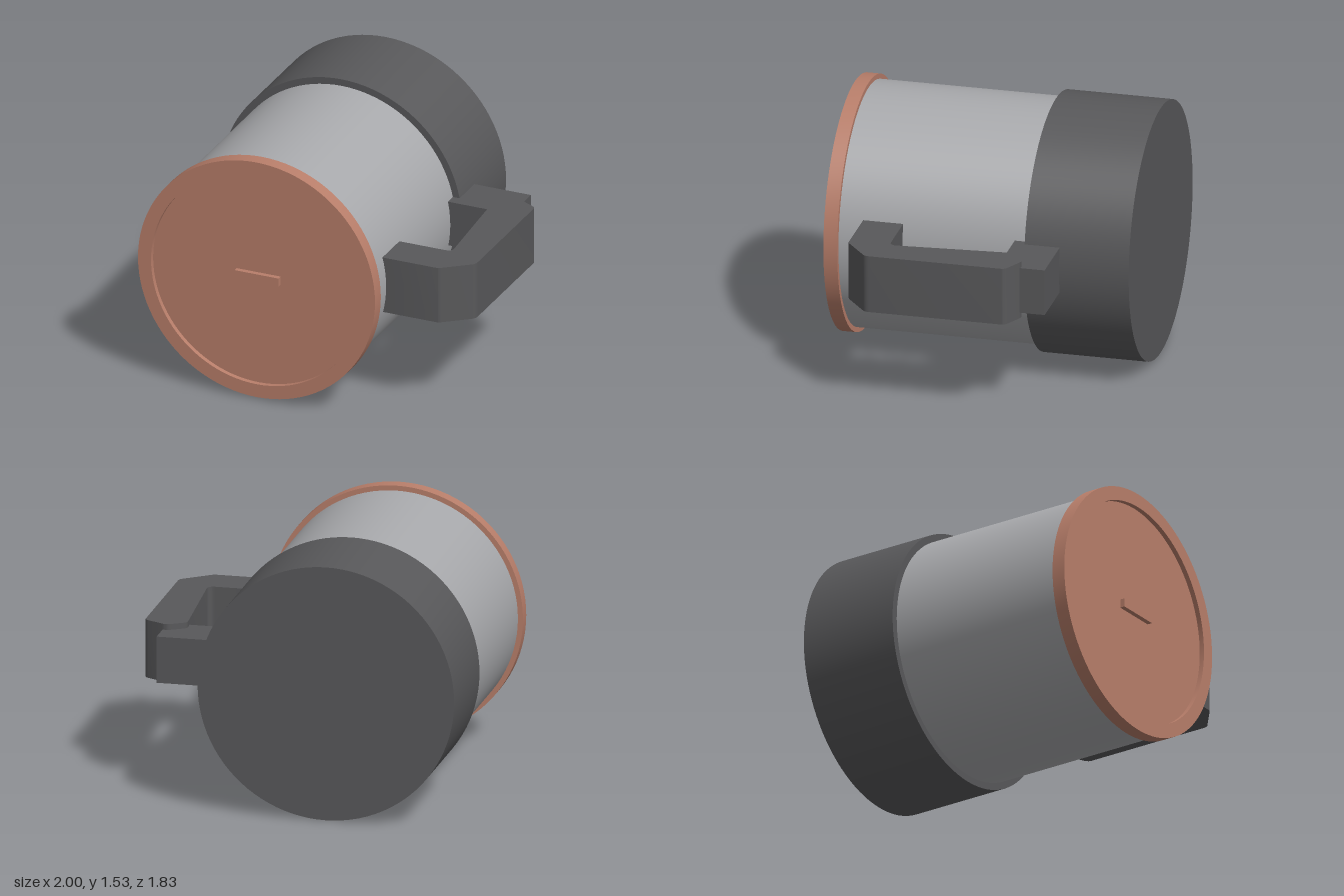
import * as THREE from 'three';
import { toCreasedNormals } from 'three/addons/utils/BufferGeometryUtils.js';

const CX = -0.233, CY = 0.767; // axis of the round parts, which runs along z

const makeMaterial = (name, color) => {
  const m = new THREE.MeshStandardMaterial({ color });
  m.name = name;
  return m;
};

export function createModel() {
  const group = new THREE.Group();
  const charcoal = makeMaterial('charcoal', 0x58585a);
  const silver = makeMaterial('silver', 0xa8a9ac);
  const copper = makeMaterial('copper', 0xb87e6a);

  const add = (name, geometry, material, x = 0, y = 0, z = 0) => {
    const mesh = new THREE.Mesh(geometry, material);
    mesh.name = name;
    mesh.position.set(x, y, z);
    group.add(mesh);
  };

  // Round part turned about the z axis from [radius, z] points
  const turned = (name, profile, material) => {
    const points = profile.map(([r, z]) => new THREE.Vector2(r, z));
    const geometry = new THREE.LatheGeometry(points, 96).rotateX(Math.PI / 2);
    add(name, toCreasedNormals(geometry, 0.6), material, CX, CY, 0);
  };

  turned('base', [[0, -0.917], [0.767, -0.917], [0.767, -0.29], [0, -0.29]], charcoal);
  turned('body', [[0, -0.3], [0.725, -0.3], [0.725, 0.84], [0, 0.84]], silver);
  // Lid with a raised rim around a shallow recess
  turned('lid', [[0, 0.832], [0.755, 0.832], [0.755, 0.915], [0.672, 0.915],
    [0.672, 0.885], [0, 0.885]], copper);
  add('lidGrip', new THREE.BoxGeometry(0.28, 0.052, 0.04), copper, CX, 0.776, 0.895);

  // Handle: outline in x and z, extruded upward
  const outline = new THREE.Shape();
  outline.moveTo(0.44, -0.69);
  outline.lineTo(0.81, -0.69);
  outline.quadraticCurveTo(0.825, -0.69, 0.84, -0.677);
  outline.lineTo(0.98, -0.565);
  outline.quadraticCurveTo(1, -0.55, 1, -0.52);
  outline.lineTo(1, 0.27);
  outline.quadraticCurveTo(1, 0.287, 0.98, 0.3);
  outline.lineTo(0.885, 0.348);
  outline.quadraticCurveTo(0.86, 0.362, 0.835, 0.348);
  outline.lineTo(0.765, 0.303);
  outline.quadraticCurveTo(0.745, 0.29, 0.748, 0.26);
  outline.lineTo(0.8, -0.41);
  outline.quadraticCurveTo(0.8, -0.45, 0.76, -0.45);
  outline.lineTo(0.44, -0.45);
  const handle = new THREE.ExtrudeGeometry(outline, {
    depth: 0.35, bevelEnabled: false, curveSegments: 6,
  }).rotateX(-Math.PI / 2);
  add('handle', toCreasedNormals(handle, 0.5), charcoal, 0, 0.6, 0);

  // Lug that joins the handle to the base
  add('handleLug', new THREE.BoxGeometry(0.44, 0.28, 0.28), charcoal, 0.66, 0.775, -0.36);

  return group;
}
